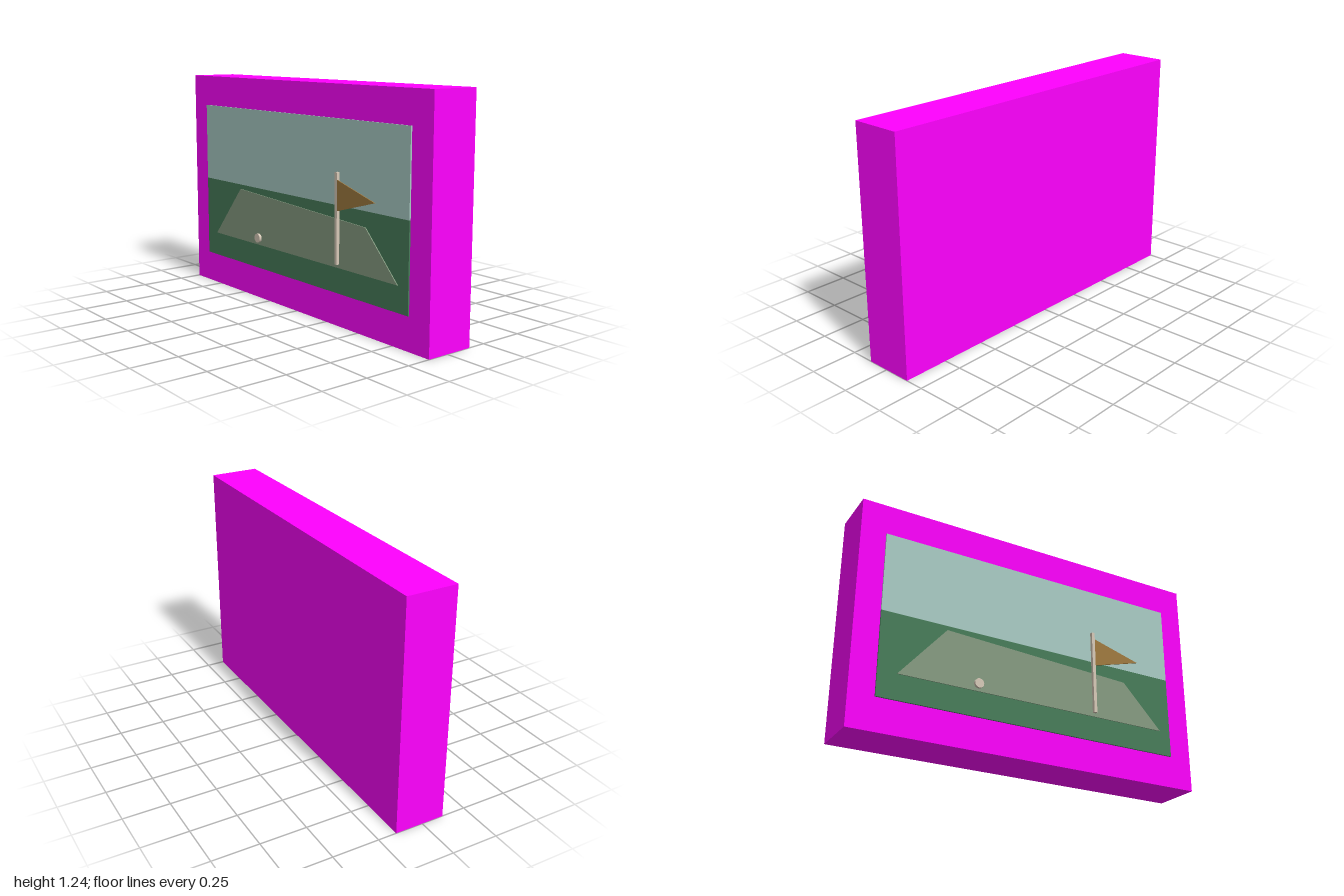
import * as THREE from 'three';

export function createModel() {
  const model = new THREE.Group();

  function add(name, geometry, color, x = 0, y = 0, z = 0) {
    const mesh = new THREE.Mesh(geometry, new THREE.MeshStandardMaterial({ color }));
    mesh.name = name;
    mesh.position.set(x, y, z);
    model.add(mesh);
    return mesh;
  }

  // Thin plate cut from an outline in the x-y plane, from z0 to z1
  function plate(name, points, z0, z1, color) {
    const shape = new THREE.Shape(points.map(([x, y]) => new THREE.Vector2(x, y)));
    const geometry = new THREE.ExtrudeGeometry(shape, { depth: z1 - z0, bevelEnabled: false });
    return add(name, geometry, color, 0, 0, z0);
  }

  // Solid casing
  add('casing', new THREE.BoxGeometry(2, 1.235, 0.27), 0xff00ff, 0, 0.6175, -0.015);

  // Picture panel: sky above, grass below
  add('sky', new THREE.BoxGeometry(1.73, 0.435, 0.008), 0xaaccc5, 0, 0.8475, 0.124);
  add('grass', new THREE.BoxGeometry(1.73, 0.455, 0.008), 0x487d5a, 0, 0.4025, 0.124);

  // Putting green
  plate('puttingGreen', [[-0.765, 0.31], [0.795, 0.31], [0.565, 0.55], [-0.51, 0.605]],
    0.127, 0.133, 0x869c82);

  // Flag pole and pennant
  add('flagPole', new THREE.BoxGeometry(0.018, 0.47, 0.017), 0xd8cab8, 0.362, 0.565, 0.1415);
  plate('flag', [[0.371, 0.605], [0.65, 0.683], [0.371, 0.762]], 0.144, 0.149, 0xa07b40);

  // Ball, a short disc facing forward
  const ball = add('ball', new THREE.CylinderGeometry(0.025, 0.025, 0.014, 32), 0xd8cab8, -0.33, 0.35, 0.14);
  ball.rotation.x = Math.PI / 2;

  return model;
}
